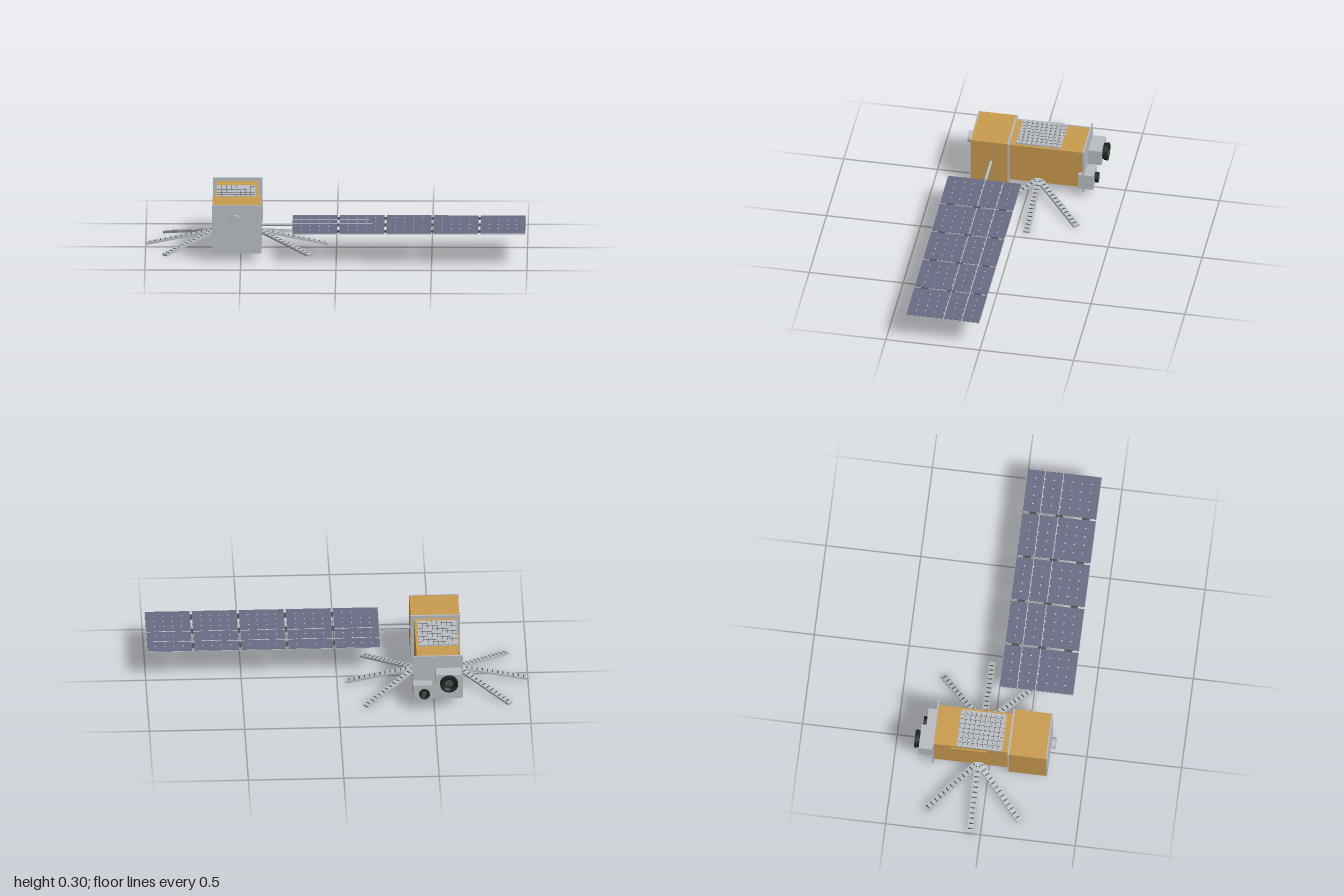
import * as THREE from 'three';

const mat = (name, color) => {
  const m = new THREE.MeshStandardMaterial({ color });
  m.name = name;
  return m;
};

export function createModel() {
  const gold = mat('goldFoil', 0xc99b4f);
  const metal = mat('paleMetal', 0xb9bec2);
  const cell = mat('solarCell', 0x686c84);
  const dark = mat('darkMetal', 0x4a4d50);
  const black = mat('lensBlack', 0x1d2524);
  const white = mat('cellGapWhite', 0xd8dade);

  const root = new THREE.Group();
  root.name = 'satellite';

  const add = (name, geo, material, x, y, z, parent = root) => {
    const m = new THREE.Mesh(geo, material);
    m.name = name;
    m.position.set(x, y, z);
    parent.add(m);
    return m;
  };
  // Box given by its limits on each axis
  const box = (name, material, [x0, x1], [y0, y1], [z0, z1], parent = root) =>
    add(name, new THREE.BoxGeometry(x1 - x0, y1 - y0, z1 - z0), material,
      (x0 + x1) / 2, (y0 + y1) / 2, (z0 + z1) / 2, parent);
  // Cylinder lying along z
  const discZ = (name, material, r, x, y, z0, z1, parent = root) =>
    add(name, new THREE.CylinderGeometry(r, r, z1 - z0, 32).rotateX(Math.PI / 2),
      material, x, y, (z0 + z1) / 2, parent);

  // Foil-wrapped body in two sections, with square plates at the joints
  const CX = -0.52;
  box('frontBody', gold, [-0.648, -0.392], [0.047, 0.303], [0.105, 0.303]);
  box('rearBody', gold, [-0.63, -0.41], [0.062, 0.287], [-0.292, 0.105]);
  for (const [name, z0, z1] of [['frontPlate', 0.302, 0.309], ['middlePlate', 0.1, 0.109], ['backPlate', -0.299, -0.291]])
    box(name, metal, [-0.65, -0.39], [0.045, 0.305], [z0, z1]);
  box('sideCover', gold, [-0.638, -0.63], [0.11, 0.27], [-0.2, -0.01]);

  // Disc antenna standing off the front plate
  discZ('frontDisc', metal, 0.03, -0.525, 0.226, 0.32, 0.34);

  // Radiator on the roof, with fine seams
  const radiator = new THREE.Group();
  radiator.name = 'radiator';
  root.add(radiator);
  box('radiatorPanel', metal, [-0.63, -0.424], [0.287, 0.296], [-0.17, 0.068], radiator);
  for (let i = 1; i < 8; i++) {
    const x = -0.63 + i * 0.206 / 8;
    box('radiatorSeam', dark, [x - 0.0008, x + 0.0008], [0.296, 0.2965], [-0.168, 0.066], radiator);
  }
  for (let i = 1; i < 9; i++) {
    const z = -0.17 + i * 0.238 / 9;
    box('radiatorSeam', dark, [-0.628, -0.426], [0.296, 0.2965], [z - 0.0008, z + 0.0008], radiator);
  }

  // Two rear cameras: housing, ribbed barrel, rim and recessed glass
  const camera = (name, xs, ys, zs, r, lx, ly, tip) => {
    const g = new THREE.Group();
    g.name = name;
    root.add(g);
    box('housing', metal, xs, ys, zs, g);
    const len = zs[0] - tip;
    const profile = [[0, 0], [r * 0.9, 0], [r * 0.9, len * 0.3], [r, len * 0.3], [r, len],
      [r * 0.8, len], [r * 0.6, len * 0.5], [0, len * 0.5]].map(p => new THREE.Vector2(...p));
    const barrel = new THREE.LatheGeometry(profile, 32).toNonIndexed().rotateX(-Math.PI / 2);
    barrel.computeVertexNormals();
    add('lensBarrel', barrel, black, lx, ly, zs[0], g);
    discZ('lensGlass', dark, r * 0.45, lx, ly, zs[0] - len * 0.55, zs[0] - len * 0.45, g);
  };
  camera('largeCamera', [-0.642, -0.508], [0.144, 0.232], [-0.37, -0.298], 0.047, -0.575, 0.188, -0.397);
  camera('smallCamera', [-0.488, -0.389], [0.068, 0.157], [-0.348, -0.267], 0.028, -0.447, 0.11, -0.367);

  // Fans of three drooping antenna arms on both sides
  const armLength = 0.375;
  const armFan = (name, x, turn) => {
    const fan = new THREE.Group();
    fan.name = name;
    fan.position.set(x, 0.084, -0.055);
    fan.rotation.y = turn;
    root.add(fan);
    for (const yaw of [-0.75, 0, 0.75]) {
      const arm = new THREE.Group();
      arm.name = 'antennaArm';
      arm.rotation.set(0, yaw, -0.2, 'YZX');
      fan.add(arm);
      box('armBar', metal, [0, armLength], [-0.006, 0.006], [-0.017, 0.017], arm);
      for (let i = 0; i < 13; i++) {
        const s = 0.02 + i * 0.0275;
        box('armSlot', dark, [s, s + 0.006], [0.006, 0.0065], [-0.012, 0.012], arm);
      }
    }
  };
  armFan('leftArms', -0.41, 0);
  armFan('rightArms', -0.63, Math.PI);

  // Solar wing: boom and five hinged panels
  add('boom', new THREE.CylinderGeometry(0.008, 0.008, 0.16, 20).rotateZ(Math.PI / 2), metal, -0.312, 0.175, 0.197);
  const wing = new THREE.Group();
  wing.name = 'solarWing';
  root.add(wing);
  const Z0 = 0.004, Z1 = 0.396, pitch = 0.2463, gap = 0.008;
  const diamond = new THREE.CircleGeometry(0.0045, 4).rotateX(-Math.PI / 2);
  for (let i = 0; i < 5; i++) {
    const x0 = -0.231 + i * pitch, x1 = x0 + pitch - gap;
    box('solarBoard', metal, [x0, x1], [0.172, 0.1765], [Z0, Z1], wing);
    box('solarCells', cell, [x0 + 0.002, x1 - 0.002], [0.1765, 0.1785], [Z0 + 0.002, Z1 - 0.002], wing);
    // Seams between cell rows
    for (const z of [0.098, 0.195])
      box('cellSeam', white, [x0 + 0.002, x1 - 0.002], [0.1785, 0.1788], [z - 0.0015, z + 0.0015], wing);
    // Clipped cell corners showing the pale board
    for (let a = 1; a < 5; a++)
      for (let b = 1; b < 8; b++)
        add('cellCorner', diamond, white, x0 + a * (x1 - x0) / 5, 0.1789, Z0 + b * (Z1 - Z0) / 8, wing);
    // Hinges to the next panel
    if (i < 4)
      for (const z of [0.06, 0.2, 0.34])
        box('hinge', dark, [x1 - 0.004, x1 + gap + 0.004], [0.171, 0.1775], [z - 0.02, z + 0.02], wing);
  }
  return root;
}
